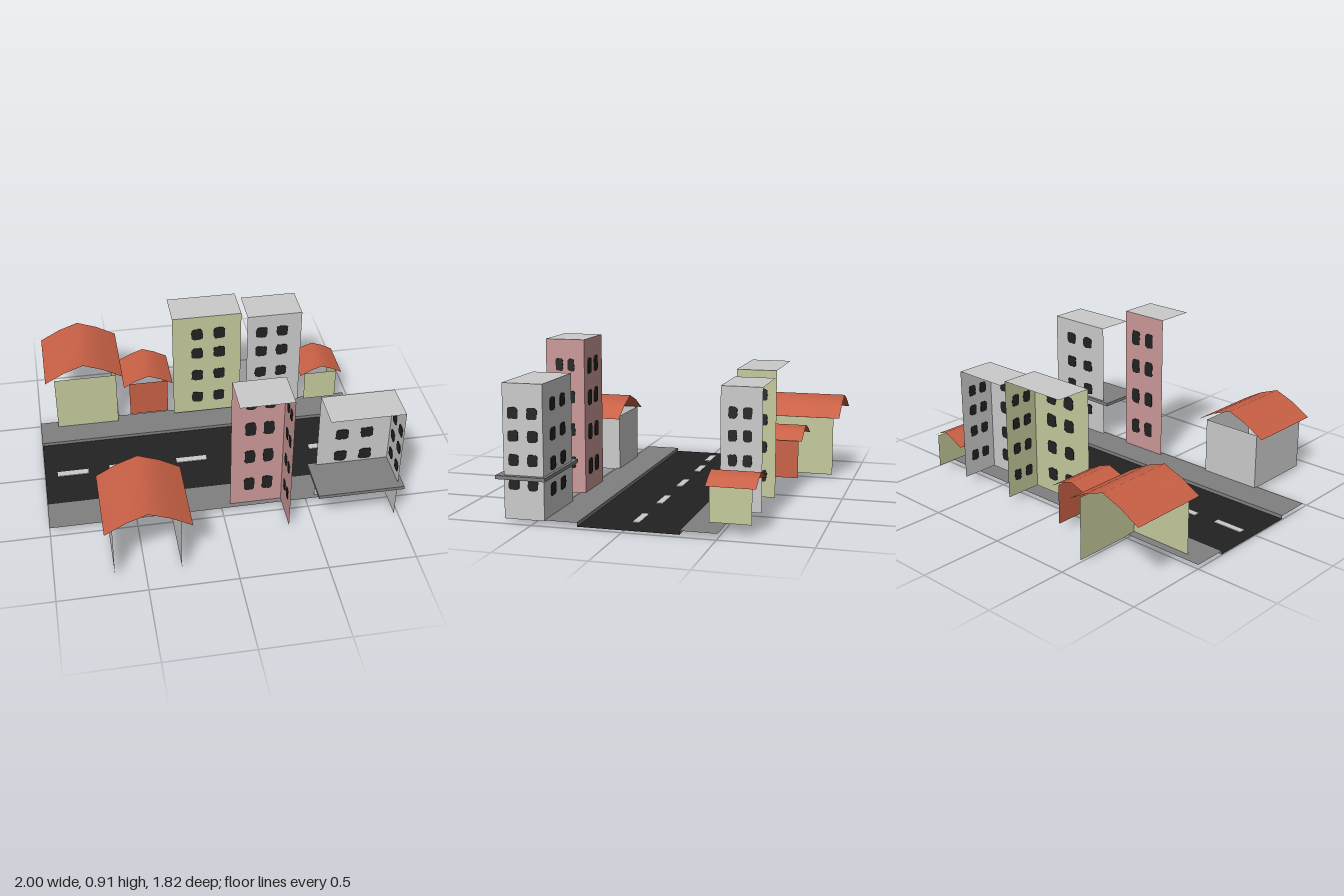
import * as THREE from 'three';

const mat = (name, color) => {
  const m = new THREE.MeshStandardMaterial({ color, side: THREE.DoubleSide });
  m.name = name;
  return m;
};

export function createModel() {
  const M = {
    grey: mat('light grey', 0xcbcbcb),
    pink: mat('pink', 0xcc9999),
    green: mat('pale green', 0xc5ca9c),
    orange: mat('orange', 0xc86045),
    pavement: mat('pavement grey', 0x808080),
    black: mat('asphalt black', 0x222222),
  };
  const model = new THREE.Group();
  model.name = 'streetBlock';

  let seed = 7;
  const rnd = () => (seed = (seed * 16807) % 2147483647) / 2147483647;

  const add = (parent, name, geo, material, x, y, z) => {
    const m = new THREE.Mesh(geo, material);
    m.name = name;
    m.position.set(x, y, z);
    parent.add(m);
    return m;
  };

  // Flat sheets: facing z, facing x, and lying down
  const sheetZ = (p, name, mt, x0, x1, y0, y1, z) =>
    add(p, name, new THREE.PlaneGeometry(x1 - x0, y1 - y0), mt, (x0 + x1) / 2, (y0 + y1) / 2, z);
  const sheetX = (p, name, mt, z0, z1, y0, y1, x) =>
    add(p, name, new THREE.PlaneGeometry(z1 - z0, y1 - y0).rotateY(Math.PI / 2), mt, x, (y0 + y1) / 2, (z0 + z1) / 2);
  const sheetY = (p, name, mt, x0, x1, z0, z1, y) =>
    add(p, name, new THREE.PlaneGeometry(x1 - x0, z1 - z0).rotateX(-Math.PI / 2), mt, (x0 + x1) / 2, y, (z0 + z1) / 2);

  // Hand-drawn window: a rough-edged rounded square, thin enough to show on both sides of a wall
  const windowPlate = (w, h) => {
    const pts = [];
    for (let i = 0; i < 20; i++) {
      const a = (i / 20) * Math.PI * 2, c = Math.cos(a), s = Math.sin(a);
      const k = (0.93 + rnd() * 0.14) / Math.pow(c ** 6 + s ** 6, 1 / 6);
      pts.push(new THREE.Vector2(c * k * w / 2, s * k * h / 2));
    }
    const g = new THREE.ExtrudeGeometry(new THREE.Shape(pts), { depth: 0.006, bevelEnabled: false });
    return g.translate(0, 0, -0.003);
  };

  // Open-backed building: street wall, right wall and optional left wall
  const building = (o) => {
    const g = new THREE.Group();
    g.name = o.name;
    model.add(g);
    const [x0, x1] = o.x, [y0, y1] = o.y, [z0, z1] = o.z;
    const streetZ = z0 > 0 ? z0 : z1;
    sheetZ(g, 'streetWall', o.mat, x0, x1, y0, y1, streetZ);
    sheetX(g, 'rightWall', o.mat, z0, z1, y0, y1, x1);
    if (o.leftWall) sheetX(g, 'leftWall', o.mat, z0, z1, y0, y1, x0);
    return g;
  };

  // Gently curved gable roof with its ridge along z
  const gable = (g, [x0, x1], [y0, y1], [z0, z1]) => {
    const rise = [0, 0.6, 1, 0.6, 0];
    const geo = new THREE.PlaneGeometry(x1 - x0, z1 - z0, 4, 1).rotateX(-Math.PI / 2);
    const p = geo.attributes.position;
    for (let i = 0; i < p.count; i++) p.setY(i, rise[i % 5] * (y1 - y0));
    geo.computeVertexNormals();
    add(g, 'gableRoof', geo, M.orange, (x0 + x1) / 2, y0, (z0 + z1) / 2);
  };

  // Ground: road, pavements, kerbs and lane dashes
  const street = new THREE.Group();
  street.name = 'street';
  model.add(street);
  sheetY(street, 'road', M.black, -1, 0.97, -0.3, 0.255, 0.004);
  sheetY(street, 'backPavement', M.pavement, -1, 0.97, -0.5, -0.3, 0.025);
  sheetY(street, 'frontPavement', M.pavement, -1, 0.97, 0.255, 0.46, 0.025);
  for (const z of [-0.3, 0.255]) sheetZ(street, 'kerb', M.pavement, -1, 0.97, 0.004, 0.025, z);
  for (const [x, z] of [[-0.832, -0.017], [-0.518, -0.028], [-0.108, -0.025], [0.305, -0.025], [0.72, -0.018]])
    add(street, 'laneDash', new THREE.BoxGeometry(0.185, 0.008, 0.04), M.grey, x, 0.004, z);

  // Gabled houses
  const houses = [
    { name: 'greyHouse', mat: M.grey, x: [-0.67, -0.3], y: [0.02, 0.36], z: [0.44, 0.88], leftWall: true,
      roof: [[-0.715, -0.24], [0.35, 0.465], [0.425, 0.905]] },
    { name: 'greenHouse', mat: M.green, x: [-0.89, -0.51], y: [0.02, 0.385], z: [-0.87, -0.45],
      roof: [[-0.945, -0.47], [0.38, 0.49], [-0.91, -0.435]] },
    { name: 'orangeHouse', mat: M.orange, x: [-0.43, -0.19], y: [0.06, 0.295], z: [-0.71, -0.46],
      roof: [[-0.465, -0.16], [0.29, 0.36], [-0.735, -0.435]] },
    { name: 'smallGreenHouse', mat: M.green, x: [0.69, 0.895], y: [0.06, 0.258], z: [-0.66, -0.435],
      roof: [[0.66, 0.925], [0.255, 0.315], [-0.685, -0.42]] },
  ];
  for (const h of houses) gable(building(h), ...h.roof);

  // Flat-roofed towers with window grids on the street wall and right wall
  const towers = [
    { name: 'pinkTower', mat: M.pink, x: [0.05, 0.35], y: [0.02, 0.91], z: [0.43, 0.66],
      cols: [0.16, 0.265], rows: [0.755, 0.57, 0.37, 0.165], size: [0.06, 0.09],
      sideCols: [0.58, 0.51], sideRows: [0.765, 0.58, 0.39, 0.2], sideSize: [0.042, 0.07] },
    { name: 'greyTower', mat: M.grey, x: [0.55, 0.97], y: [0.02, 0.748], z: [0.435, 0.66],
      cols: [0.69, 0.835], rows: [0.625, 0.465, 0.307, 0.165], size: [0.072, 0.07],
      sideCols: [0.603, 0.495], sideRows: [0.59, 0.468, 0.34, 0.21], sideSize: [0.058, 0.062] },
    { name: 'greenTower', mat: M.green, x: [-0.155, 0.27], y: [0.05, 0.765], z: [-0.66, -0.435],
      cols: [-0.003, 0.135], rows: [0.64, 0.5, 0.335, 0.165], size: [0.07, 0.075],
      sideCols: [-0.5, -0.585], sideRows: [0.63, 0.49, 0.335, 0.17], sideSize: [0.05, 0.065] },
    { name: 'backGreyTower', mat: M.grey, x: [0.31, 0.65], y: [0.06, 0.73], z: [-0.66, -0.435],
      cols: [0.4, 0.53], rows: [0.61, 0.47, 0.31, 0.163], size: [0.07, 0.072],
      sideCols: [-0.5, -0.58], sideRows: [0.59, 0.468, 0.335, 0.18], sideSize: [0.048, 0.062] },
  ];
  for (const t of towers) {
    const g = building(t);
    sheetY(g, 'flatRoof', M.grey, ...t.x, ...t.z, t.y[1]);
    const streetZ = t.z[0] > 0 ? t.z[0] : t.z[1];
    for (const x of t.cols) for (const y of t.rows)
      add(g, 'streetWindow', windowPlate(...t.size), M.black, x, y, streetZ);
    for (const z of t.sideCols) for (const y of t.sideRows)
      add(g, 'sideWindow', windowPlate(...t.sideSize).rotateY(Math.PI / 2), M.black, t.x[1], y, z);
  }

  // Projecting canopy around the grey tower
  add(model, 'canopy', new THREE.BoxGeometry(0.495, 0.02, 0.28), M.pavement, 0.75, 0.247, 0.558);

  return model;
}
